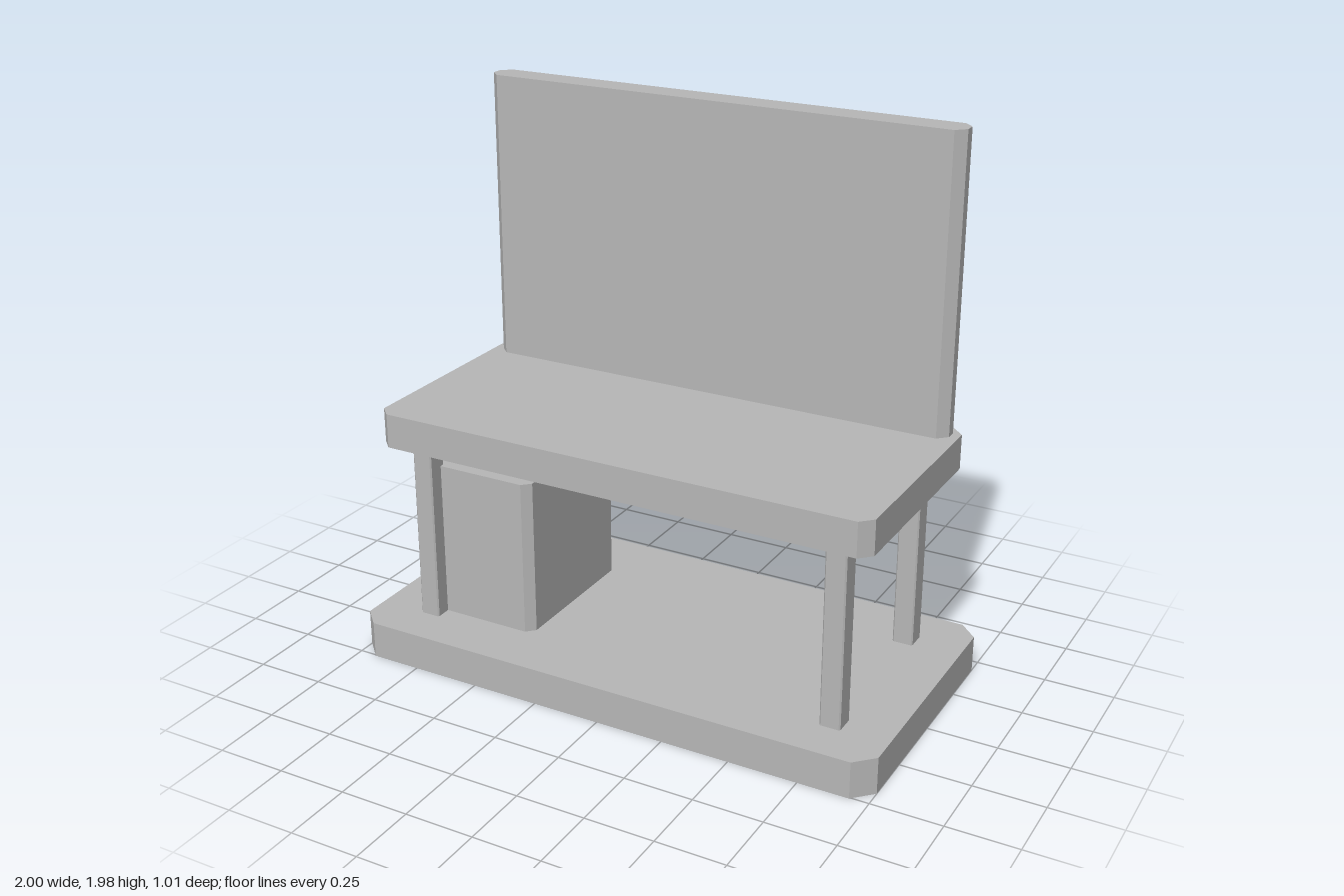
import * as THREE from 'three';

const grey = new THREE.MeshStandardMaterial({ color: 0xb8b8b8 });
grey.name = 'plain grey';

// Upright slab with its four vertical edges chamfered by c
function slab(name, width, depth, c, y0, y1, x = 0, z = 0) {
  const w = width / 2, d = depth / 2;
  const outline = [
    [-w + c, -d], [w - c, -d], [w, -d + c], [w, d - c],
    [w - c, d], [-w + c, d], [-w, d - c], [-w, -d + c],
  ].map(([a, b]) => new THREE.Vector2(a, b));
  const geometry = new THREE.ExtrudeGeometry(new THREE.Shape(outline), {
    depth: y1 - y0,
    bevelEnabled: false,
  });
  geometry.rotateX(-Math.PI / 2);
  const mesh = new THREE.Mesh(geometry, grey);
  mesh.name = name;
  mesh.position.set(x, y0, z);
  return mesh;
}

export function createModel() {
  const model = new THREE.Group();
  model.name = 'deskWithBackBoard';

  model.add(
    slab('base', 2, 1.01, 0.067, 0, 0.134),
    slab('deskTop', 1.856, 0.83, 0.042, 0.8, 0.925),
    slab('backBoard', 1.792, 0.106, 0.034, 0.925, 1.98, 0, -0.354),
    slab('cabinet', 0.42, 0.59, 0.03, 0.134, 0.71, -0.6, 0),
  );

  // Four legs between the base and the desk top
  for (const sx of [-1, 1]) {
    for (const sz of [-1, 1]) {
      const name = (sz > 0 ? 'front' : 'back') + (sx > 0 ? 'Left' : 'Right') + 'Leg';
      model.add(slab(name, 0.075, 0.077, 0.005, 0.134, 0.8, sx * 0.792, sz * 0.314));
    }
  }
  return model;
}
